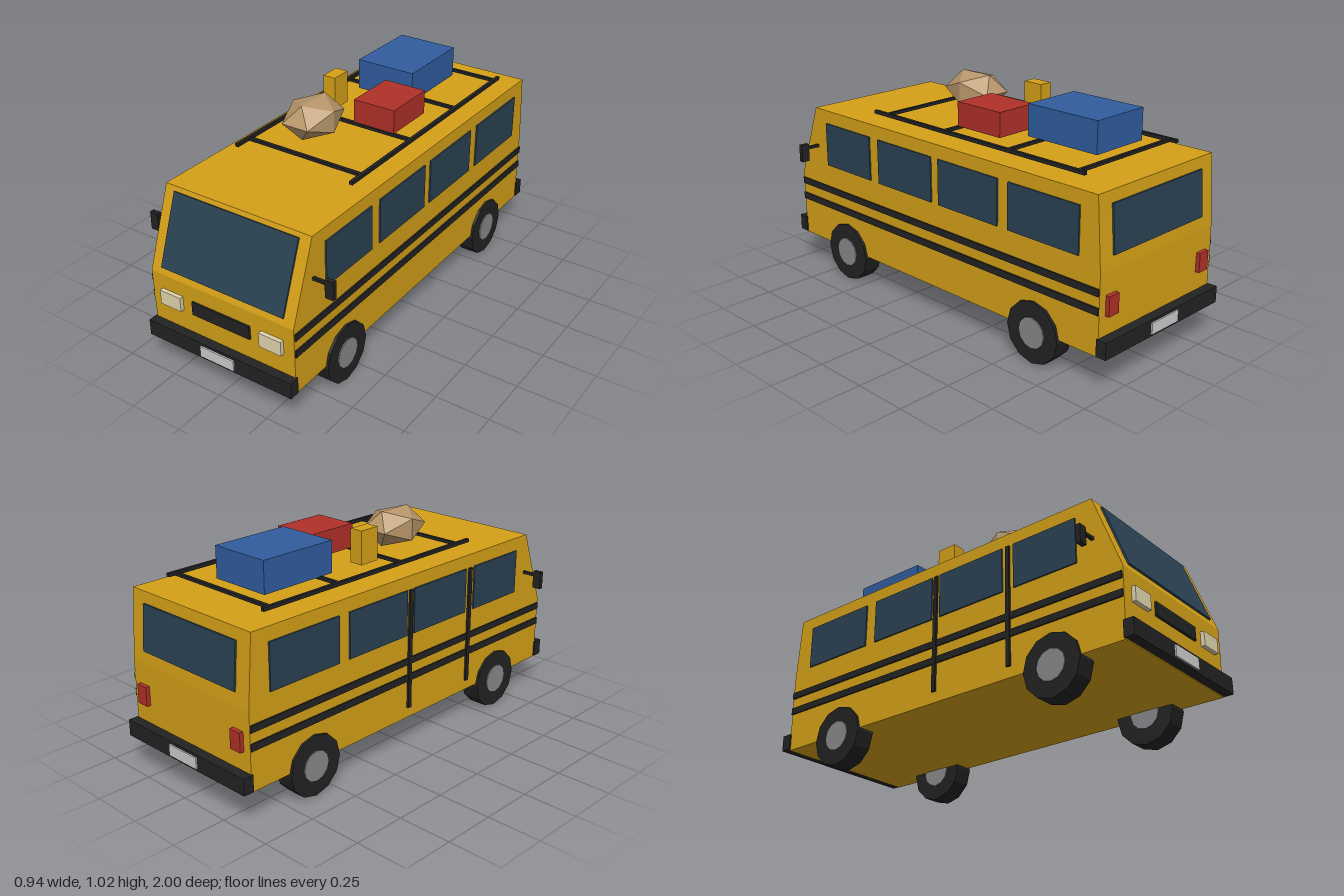
import * as THREE from 'three';

const mat = (name, color) => {
  const m = new THREE.MeshStandardMaterial({ color });
  m.name = name;
  return m;
};

export function createModel() {
  const van = new THREE.Group();
  van.name = 'van';

  const paint = mat('yellow paint', 0xd4a017);
  const black = mat('black trim', 0x222222);
  const glass = mat('dark glass', 0x2a4152);
  const red = mat('red', 0xb03028);
  const blue = mat('blue', 0x305c9e);
  const cream = mat('cream lamp', 0xded4ac);
  const silver = mat('silver plate', 0xcccccc);
  const hubGrey = mat('hub grey', 0x88888c);
  const tan = mat('tan sack', 0xb8966a);

  const add = (name, geo, material) => {
    const mesh = new THREE.Mesh(geo, material);
    mesh.name = name;
    van.add(mesh);
    return mesh;
  };
  // Box given by its ranges along x, y and z
  const box = (name, material, [x0, x1], [y0, y1], [z0, z1]) => {
    const mesh = add(name, new THREE.BoxGeometry(x1 - x0, y1 - y0, z1 - z0), material);
    mesh.position.set((x0 + x1) / 2, (y0 + y1) / 2, (z0 + z1) / 2);
    return mesh;
  };

  // Body: side profile (z, y) extruded across the width
  const half = 0.368;
  const profile = [[-0.948, 0.15], [0.95, 0.15], [0.955, 0.465], [0.823, 0.82], [-0.925, 0.82], [-0.948, 0.5]];
  const shape = new THREE.Shape(profile.map(([z, y]) => new THREE.Vector2(z, y)));
  const bodyGeo = new THREE.ExtrudeGeometry(shape, { depth: half * 2, bevelEnabled: false });
  bodyGeo.rotateY(-Math.PI / 2).translate(half, 0, 0);
  add('body', bodyGeo, paint);

  // Sloping glass, laid on the line between two profile points
  const slopedGlass = (name, [za, ya], [zb, yb], y0, y1, halfWidth, out) => {
    const slope = (zb - za) / (yb - ya);
    const angle = Math.atan(slope);
    const mesh = add(name, new THREE.BoxGeometry(halfWidth * 2, (y1 - y0) / Math.cos(angle), 0.009), glass);
    const y = (y0 + y1) / 2;
    mesh.position.set(0, y - Math.sin(angle) * out, za + (y - ya) * slope + Math.cos(angle) * out);
    mesh.rotation.x = angle;
  };
  slopedGlass('windshield', profile[2], profile[3], 0.493, 0.8, 0.315, 0.004);
  slopedGlass('rearWindow', profile[5], profile[4], 0.56, 0.768, 0.29, -0.004);

  // Parts found on both sides
  const windows = [[0.42, 0.742], [0.003, 0.36], [-0.4, -0.043], [-0.84, -0.46]];
  for (const s of [1, -1]) {
    const side = s > 0 ? 'left' : 'right';
    const span = (a, b) => (s > 0 ? [a, b] : [-b, -a]);

    windows.forEach((z, i) => box(`${side}Window${i + 1}`, glass, span(half - 0.002, 0.375), [0.55, 0.758], z));
    for (const y of [[0.33, 0.362], [0.41, 0.441]])
      box(`${side}Stripe`, black, span(half - 0.002, 0.375), y, [-0.947, 0.95]);

    box(`${side}MirrorArm`, black, span(0.36, 0.435), [0.625, 0.638], [0.814, 0.828]);
    box(`${side}Mirror`, black, span(0.43, 0.47), [0.57, 0.653], [0.811, 0.833]);
    box(`${side}Headlight`, cream, span(0.205, 0.315), [0.327, 0.394], [0.945, 0.972]);
    box(`${side}TailLight`, red, span(0.27, 0.33), [0.316, 0.404], [-0.967, -0.94]);

    for (const z of [0.61, -0.608]) {
      const tyre = add(`${side}Tyre`, new THREE.CylinderGeometry(0.14, 0.14, 0.09, 12).toNonIndexed(), black);
      tyre.geometry.computeVertexNormals();
      const hub = add(`${side}Hub`, new THREE.CylinderGeometry(0.07, 0.07, 0.1, 12), hubGrey);
      for (const part of [tyre, hub]) {
        part.rotation.z = Math.PI / 2;
        part.position.set(s * 0.335, 0.14, z);
      }
    }
    box(`${side}RackRail`, black, span(0.287, 0.303), [0.849, 0.865], [-0.8, 0.46]);
  }

  // Sliding door edges on the right side only
  for (const z of [-0.02, 0.39])
    box('doorEdge', black, [-0.378, -half + 0.002], [0.2, 0.757], [z - 0.01, z + 0.01]);

  // Nose and tail
  box('grille', black, [-0.15, 0.15], [0.33, 0.393], [0.945, 0.963]);
  box('frontBumper', black, [-0.375, 0.375], [0.155, 0.23], [0.945, 0.993]);
  box('rearBumper', black, [-0.375, 0.375], [0.155, 0.23], [-0.993, -0.943]);
  box('frontPlate', silver, [-0.088, 0.088], [0.166, 0.218], [0.991, 1]);
  box('rearPlate', silver, [-0.088, 0.088], [0.166, 0.218], [-1, -0.991]);

  // Roof rack crossbars
  for (const z of [0.378, 0.001, -0.383, -0.762])
    box('rackCrossbar', black, [-0.29, 0.29], [0.85, 0.864], [z - 0.008, z + 0.008]);

  // Luggage
  box('blueTrunk', blue, [-0.19, 0.103], [0.862, 1.005], [-0.695, -0.317]);
  box('redCase', red, [0, 0.208], [0.862, 0.973], [-0.253, 0.003]);
  box('yellowCanister', paint, [-0.21, -0.147], [0.862, 1.014], [-0.16, -0.06]);
  const sackGeo = new THREE.IcosahedronGeometry(1, 0).rotateY(Math.PI / 2);
  sackGeo.scale(0.127, 0.094, 0.162);
  sackGeo.computeVertexNormals();
  add('sack', sackGeo, tan).position.set(-0.085, 0.943, 0.188);

  for (const m of [black, hubGrey, tan]) m.flatShading = true;
  return van;
}
